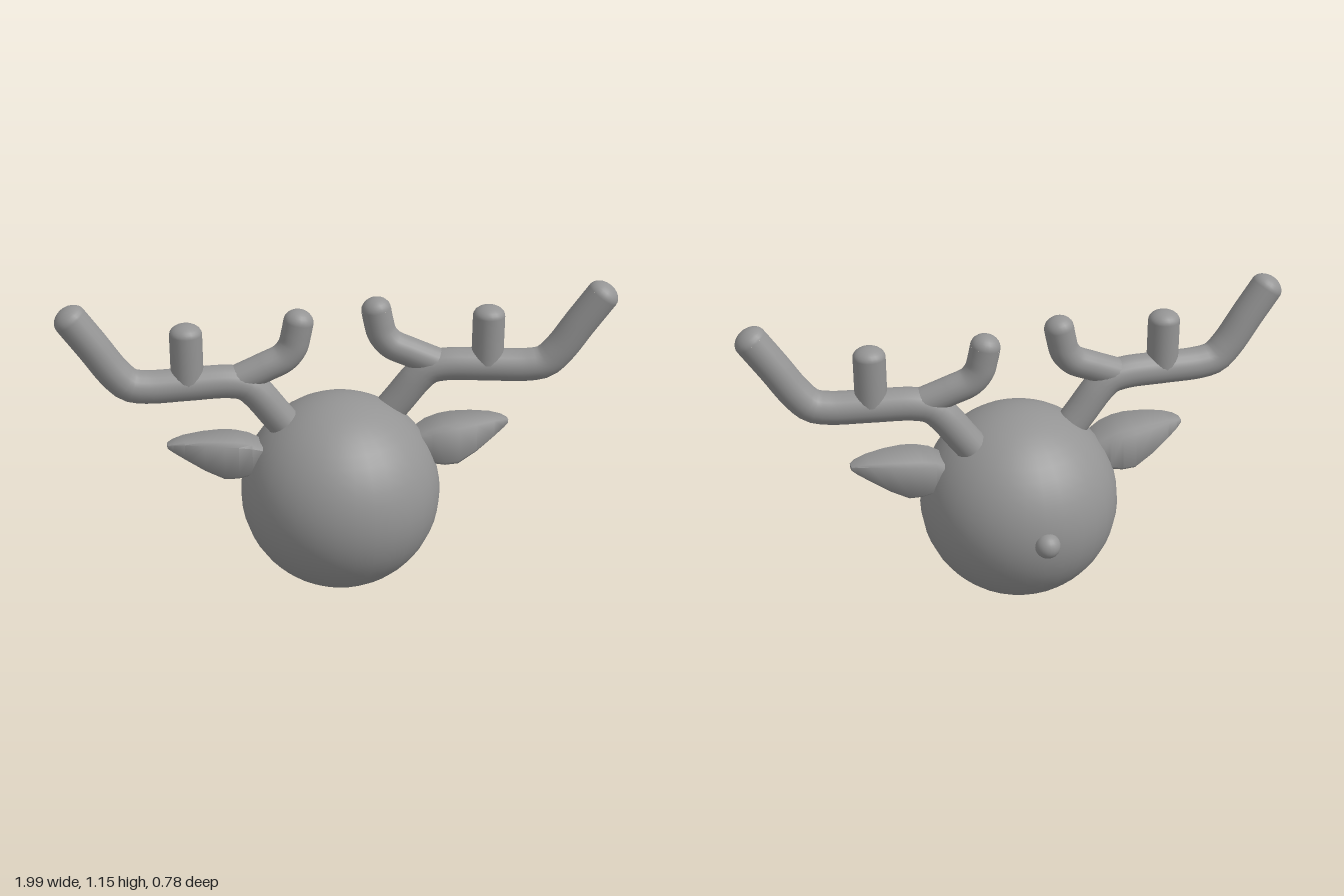
import * as THREE from 'three';
import { toCreasedNormals } from 'three/addons/utils/BufferGeometryUtils.js';

const mat = new THREE.MeshStandardMaterial({ color: 0x949494 });

function add(parent, name, geometry, x = 0, y = 0, z = 0) {
  const mesh = new THREE.Mesh(geometry, mat);
  mesh.name = name;
  mesh.position.set(x, y, z);
  parent.add(mesh);
  return mesh;
}

// Round branch along [x, y] points, with a domed tip
function branch(parent, name, points, radius, place, dome) {
  const curve = new THREE.CatmullRomCurve3(points.map(place), false, 'centripetal');
  add(parent, name, new THREE.TubeGeometry(curve, 40, radius, 20));
  const end = curve.getPoint(1);
  const cap = add(parent, name + 'Tip',
    new THREE.SphereGeometry(radius, 20, 8, 0, Math.PI * 2, 0, Math.PI / 2), end.x, end.y, end.z);
  cap.scale.y = dome;
  cap.quaternion.setFromUnitVectors(new THREE.Vector3(0, 1, 0), curve.getTangent(1));
}

// Antler: a bent beam with two upright prongs; the left one is turned slightly
function antler(side) {
  const g = new THREE.Group();
  g.name = side > 0 ? 'leftAntler' : 'rightAntler';
  const place = ([x, y]) =>
    new THREE.Vector3(side * x + 0.004, y, side > 0 ? -0.05 + (x - 0.15) * 0.182 : 0.02);
  branch(g, 'beam', [[0.16, 0.6], [0.23, 0.692], [0.3, 0.785], [0.34, 0.82], [0.4, 0.834],
    [0.55, 0.834], [0.69, 0.834], [0.75, 0.847], [0.8, 0.897], [0.87, 1.003], [0.94, 1.106]], 0.06, place, 0.75);
  branch(g, 'middleProng', [[0.545, 0.84], [0.545, 0.93], [0.545, 1.025]], 0.058, place, 0.65);
  branch(g, 'innerProng', [[0.36, 0.842], [0.27, 0.88], [0.2, 0.913], [0.168, 0.953],
    [0.155, 1.0], [0.146, 1.045]], 0.054, place, 0.85);
  return g;
}

// Ear: leaf lofted from rectangles with soft corners [x, bottom, top, half depth]
function earGeometry(side) {
  const corners = [[1, -0.8], [0.8, -1], [-0.8, -1], [-1, -0.8], [-1, 0.8], [-0.8, 1], [0.8, 1], [1, 0.8]];
  const rings = [
    [0.28, 0.5, 0.58, 0.06], [0.33, 0.477, 0.606, 0.075], [0.38, 0.468, 0.62, 0.08],
    [0.43, 0.47, 0.626, 0.08], [0.5, 0.507, 0.628, 0.067], [0.57, 0.554, 0.625, 0.047],
    [0.61, 0.58, 0.617, 0.03], [0.63, 0.594, 0.608, 0.016],
  ].map(([x, bottom, top, depth]) => corners.map(([u, v]) => {
    const y = (bottom + top) / 2 + v * (top - bottom) / 2;
    return [side * x + 0.006, y + u * depth * 0.06, 0.022 + u * depth - side * (y - 0.545) * 0.1];
  }));
  const pos = [];
  const tri = (a, b, c) => pos.push(...a, ...(side > 0 ? c : b), ...(side > 0 ? b : c));
  const n = corners.length;
  for (let i = 0; i < rings.length - 1; i++) {
    for (let j = 0; j < n; j++) {
      const k = (j + 1) % n;
      tri(rings[i][j], rings[i + 1][k], rings[i][k]);
      tri(rings[i][j], rings[i + 1][j], rings[i + 1][k]);
    }
  }
  const root = rings[0], tip = rings[rings.length - 1];
  for (let j = 1; j < n - 1; j++) {
    tri(root[0], root[j], root[j + 1]);
    tri(tip[0], tip[j + 1], tip[j]);
  }
  const geo = new THREE.BufferGeometry();
  geo.setAttribute('position', new THREE.Float32BufferAttribute(pos, 3));
  return toCreasedNormals(geo, 0.95);
}

export function createModel() {
  const model = new THREE.Group();
  model.name = 'antleredHead';

  add(model, 'head', new THREE.SphereGeometry(0.368, 32, 24), 0.008, 0.37, 0.022);
  add(model, 'nose', new THREE.SphereGeometry(0.046, 20, 14), 0.007, 0.376, -0.345);

  for (const side of [1, -1]) {
    model.add(antler(side));
    add(model, side > 0 ? 'leftEar' : 'rightEar', earGeometry(side));
  }
  return model;
}
